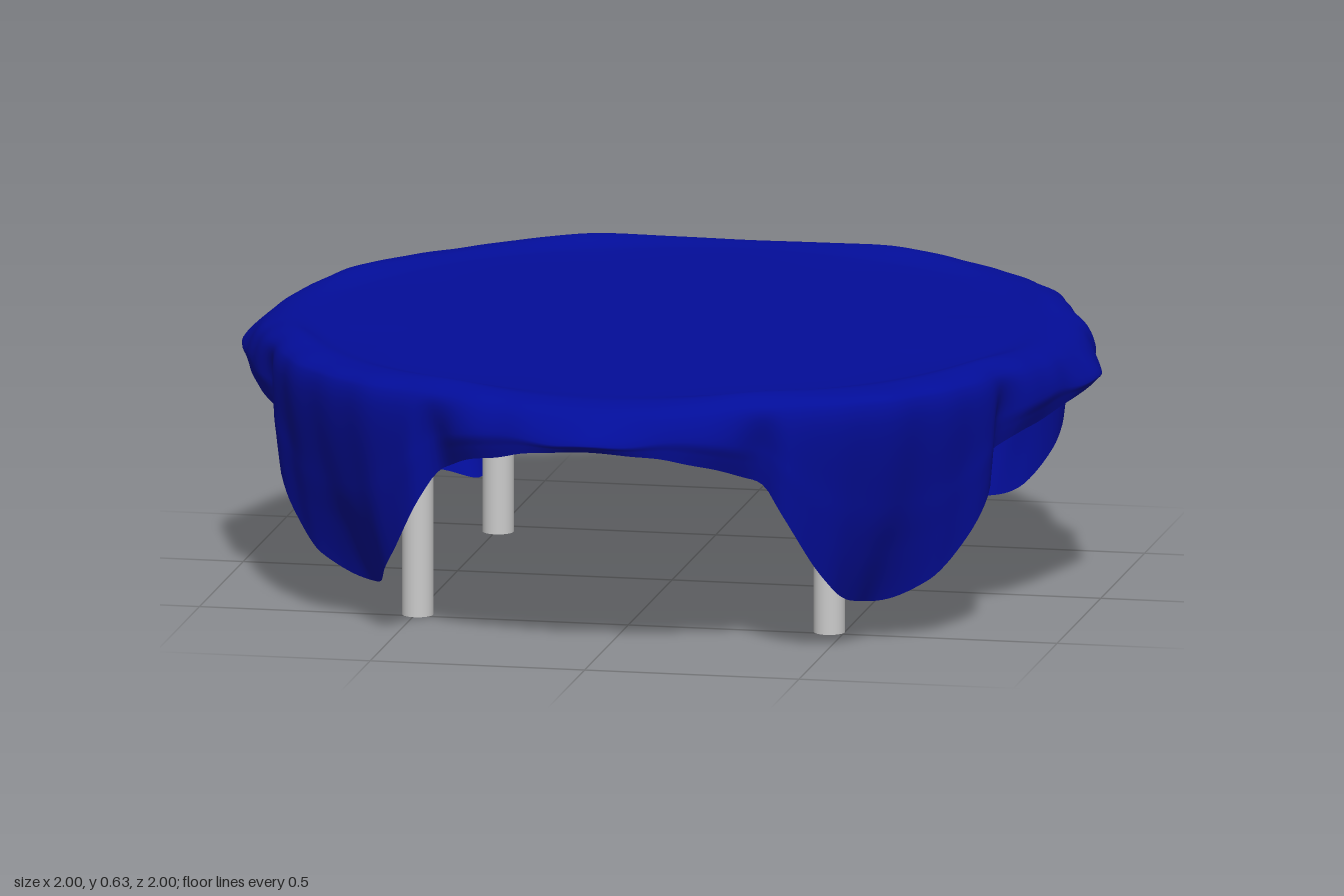
import * as THREE from 'three';

// Tables over the angle (degrees) from an axis (0) to a cloth corner (45)
const HEM_Y = [[0, .505], [6, .496], [12, .48], [17, .46], [22, .433], [25, .405], [26.8, .35], [29.6, .28], [32.9, .205], [35.8, .153], [38, .128], [41, .108], [45, .095]];
const HEM_R = [[0, .985], [10, .962], [16, .945], [20, .925], [24.5, .9], [27, .93], [30, .93], [33, .911], [36, .888], [38, .868], [41, .842], [45, .815]];
const BELLY_R = [[0, 1], [4, .99], [10, .97], [16, .965], [20, .952], [24.5, .922], [28, .948], [34, .938], [40, .925], [45, .92]];
const SHOULDER_R = [[0, .94], [15, .942], [25, .936], [32, .95], [45, .956]];
const RIM_Y = [[0, .606], [12, .612], [24, .624], [35, .618], [45, .614]];

// Smooth interpolation with clamped Catmull-Rom tangents
function sample(table, x) {
  const n = table.length;
  let i = 0;
  while (i < n - 2 && x > table[i + 1][0]) i++;
  const slope = (k) => {
    if (k === 0 || k === n - 1) return 0;
    return (table[k + 1][1] - table[k - 1][1]) / (table[k + 1][0] - table[k - 1][0]);
  };
  const [x0, y0] = table[i], [x1, y1] = table[i + 1];
  const d = x1 - x0, t = (x - x0) / d, t2 = t * t, t3 = t2 * t;
  return (2 * t3 - 3 * t2 + 1) * y0 + (t3 - 2 * t2 + t) * d * slope(i)
    + (3 * t2 - 2 * t3) * y1 + (t3 - t2) * d * slope(i + 1);
}

// Square cloth over a round top: one radial section per angle
function clothGeometry() {
  const around = 480, down = 48;
  const pos = [0, .602, 0], index = [];
  for (let a = 0; a < around; a++) {
    const deg = a * 360 / around, theta = deg * Math.PI / 180;
    const phi = 45 - Math.abs((deg % 90) - 45);
    const fade = THREE.MathUtils.smoothstep(phi, 3, 14);
    const ripple = fade * (.002 * Math.sin(theta * 23 + 1) + .002 * Math.sin(theta * 41));
    const rim = sample(RIM_Y, phi) + .002 * Math.sin(theta * 3);
    const hem = sample(HEM_Y, phi) + ripple;
    const belly = sample(BELLY_R, phi) + ripple;
    const hemR = sample(HEM_R, phi) + ripple;
    const fall = .585 - hem;
    // The short sides flare at the hem, the corners hang from the rim
    const bulge = THREE.MathUtils.lerp(.78, .5, fade);
    const section = new THREE.CatmullRomCurve3([
      [0, .602], [.45, .602], [.8, .604], [.885, rim],
      [sample(SHOULDER_R, phi) + ripple, .585 + (rim - .607) * .4],
      [belly, .585 - fall * bulge],
      [belly * .55 + hemR * .45, .585 - fall * (bulge + 1) / 2],
      [hemR, hem],
    ].map(([r, y]) => new THREE.Vector3(r, y, 0)), false, 'centripetal');
    for (let j = 1; j <= down; j++) {
      // Most rows go to the rim and the hanging part
      const u = j <= 8 ? j / 8 * 2 / 7 : 2 / 7 + (j - 8) / (down - 8) * 5 / 7;
      const p = section.getPoint(u);
      pos.push(p.x * Math.cos(theta), p.y, p.x * Math.sin(theta));
    }
  }
  const id = (a, j) => 1 + (a % around) * down + j;
  for (let a = 0; a < around; a++) {
    index.push(0, id(a + 1, 0), id(a, 0));
    for (let j = 0; j < down - 1; j++) {
      const p = id(a, j), q = id(a + 1, j);
      index.push(p, q, q + 1, p, q + 1, p + 1);
    }
  }
  const g = new THREE.BufferGeometry();
  g.setAttribute('position', new THREE.Float32BufferAttribute(pos, 3));
  g.setIndex(index);
  g.computeVertexNormals();
  return g;
}

export function createModel() {
  const model = new THREE.Group();
  model.name = 'coveredTable';
  const grey = new THREE.MeshStandardMaterial({ color: 0xcccccc });
  const blue = new THREE.MeshStandardMaterial({ color: 0x030d98, side: THREE.DoubleSide });

  // Table sits slightly off the cloth centre
  const table = new THREE.Group();
  table.name = 'table';
  table.position.set(-.015, 0, .02);
  model.add(table);

  const top = new THREE.Mesh(new THREE.CylinderGeometry(.86, .86, .037, 96), grey);
  top.name = 'tableTop';
  top.position.y = .5755;
  table.add(top);

  const legGeometry = new THREE.CylinderGeometry(.036, .036, .565, 32);
  for (const x of [-1, 1]) for (const z of [-1, 1]) {
    const leg = new THREE.Mesh(legGeometry, grey);
    leg.name = (z > 0 ? 'front' : 'back') + (x > 0 ? 'Left' : 'Right') + 'Leg';
    leg.position.set(x * .48, .2825, z * .46);
    table.add(leg);
  }

  const cloth = new THREE.Mesh(clothGeometry(), blue);
  cloth.name = 'tablecloth';
  model.add(cloth);
  return model;
}
